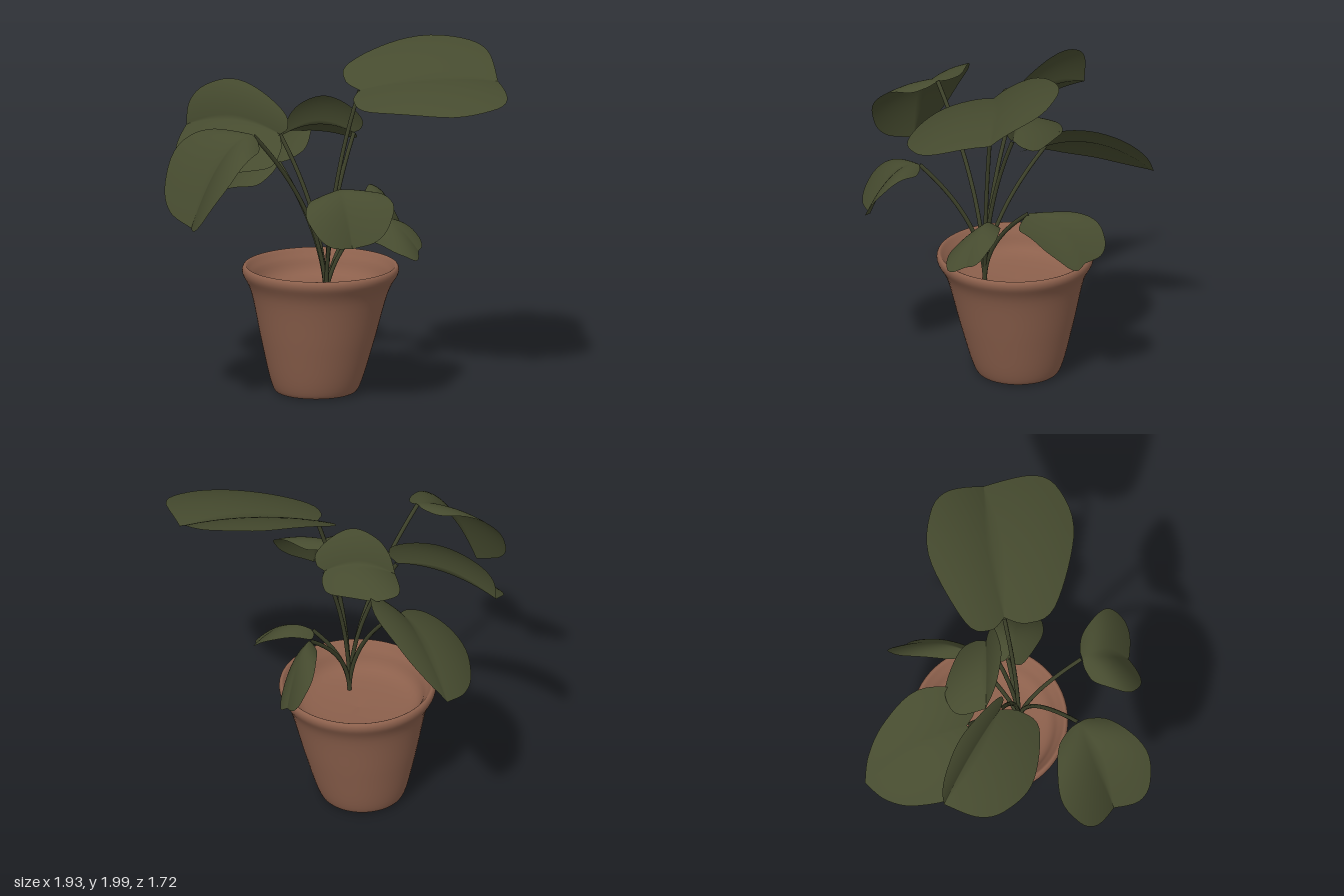
import * as THREE from 'three';

const ROOT = new THREE.Vector3(-0.02, 0.56, 0.17);
const ROWS = 32, HALF = 9;

// Blade outline in leaf space: x along the midrib, y from midrib (0) to widest point (1)
const heartOutline = (round) => new THREE.SplineCurve([
  new THREE.Vector2(0, 0),
  new THREE.Vector2(-0.1, 0.25),
  new THREE.Vector2(-0.06, 0.62),
  new THREE.Vector2(0.4, 1),
  new THREE.Vector2(0.75, 0.75 + 0.15 * round),
  new THREE.Vector2(0.93, 0.36 + 0.25 * round),
  new THREE.Vector2(1, 0),
]);

// Heart-shaped blade spanned by its base, tip and two widest edge points
function bladeGeometry(base, tip, left, right, round) {
  // The midrib arches upward, more so the further the tip hangs
  const arch = 0.05 + 0.17 * (base.y - tip.y);
  const midrib = (a) => {
    const p = base.clone().lerp(tip, a);
    p.y += 4 * arch * a * (1 - a);
    return p;
  };
  const centre = midrib(0.45);
  const toLeft = left.clone().sub(centre), toRight = right.clone().sub(centre);
  const span = left.clone().sub(right);
  const normal = tip.clone().sub(base).cross(span).normalize();
  if (normal.y < 0) normal.negate();
  const bulge = 0.12 * span.length();

  // Rows run from edge to edge across the midrib
  const outline = heartOutline(round), positions = [], index = [], cols = HALF * 2 + 1;
  for (let i = 0; i <= ROWS; i++) {
    const s = i / ROWS, edge = outline.getPointAt(s);
    for (let j = -HALF; j <= HALF; j++) {
      const v = Math.abs(j) / HALF, b = edge.y * v;
      const p = midrib(THREE.MathUtils.lerp(s, edge.x, v));
      p.addScaledVector(j > 0 ? toLeft : toRight, b);
      p.addScaledVector(normal, bulge * b * (1 - b));
      positions.push(p.x, p.y, p.z);
      if (i < ROWS && j < HALF) {
        const k = i * cols + j + HALF;
        index.push(k, k + 1, k + cols, k + 1, k + cols + 1, k + cols);
      }
    }
  }
  const geometry = new THREE.BufferGeometry();
  geometry.setAttribute('position', new THREE.Float32BufferAttribute(positions, 3));
  geometry.setIndex(index);
  geometry.computeVertexNormals();
  return geometry;
}

// Stem rises straight from the root, then arcs outward to the blade
function stemGeometry(end) {
  const above = new THREE.Vector3(ROOT.x, (ROOT.y + end.y) / 2, ROOT.z);
  return new THREE.TubeGeometry(new THREE.QuadraticBezierCurve3(ROOT, above, end), 32, 0.012, 8);
}

// Hollow pot: dimpled foot, tapered wall, rolled rim and raised inner floor
function potGeometry() {
  const profile = new THREE.SplineCurve([
    [0, 0.05], [0.08, 0.012], [0.2, 0.003], [0.25, 0.05], [0.318, 0.3], [0.385, 0.58],
    [0.44, 0.695], [0.425, 0.737], [0.385, 0.69], [0.3, 0.59], [0, 0.565],
  ].map(([r, y]) => new THREE.Vector2(r, y)));
  const geometry = new THREE.LatheGeometry(profile.getPoints(60), 64);
  // The foot sits slightly off the rim's centre
  const lean = 0.03;
  geometry.applyMatrix4(new THREE.Matrix4().makeShear(0, 0, lean, lean, 0, 0));
  return geometry.translate(-0.022, 0, -0.022);
}

export function createModel() {
  const terracotta = new THREE.MeshStandardMaterial({ name: 'terracotta', color: 0x8c604c });
  const leafGreen = new THREE.MeshStandardMaterial({ name: 'leaf green', color: 0x464b2f, side: THREE.DoubleSide });
  const stemGreen = new THREE.MeshStandardMaterial({ name: 'stem green', color: 0x3c4029 });

  const model = new THREE.Group();
  model.name = 'pottedPlant';
  const addMesh = (parent, name, geometry, material) => {
    const mesh = new THREE.Mesh(geometry, material);
    mesh.name = name;
    parent.add(mesh);
  };
  addMesh(model, 'pot', potGeometry(), terracotta);

  // One shoot: a stem carrying a blade
  const addShoot = (name, base, tip, left, right, round = 0.6) => {
    const corners = [base, tip, left, right].map((p) => new THREE.Vector3(...p));
    const shoot = new THREE.Group();
    shoot.name = name;
    addMesh(shoot, 'stem', stemGeometry(corners[0]), stemGreen);
    addMesh(shoot, 'blade', bladeGeometry(...corners, round), leafGreen);
    model.add(shoot);
  };

  // Each shoot: base, tip, left edge, right edge
  addShoot('topLeaf', [0.18, 1.77, 0.16], [0.94, 1.81, 0.34], [0.56, 1.72, 0.73], [0.62, 1.99, -0.12], 1);
  addShoot('upperBackLeaf', [-0.23, 1.5, -0.03], [-0.63, 1.47, -0.53], [-0.66, 1.3, -0.02], [-0.4, 1.76, -0.34]);
  addShoot('middleLeaf', [0.18, 1.5, 0.05], [-0.19, 1.48, -0.1], [0, 1.73, 0.07], [0, 1.45, -0.27]);
  addShoot('lowerBackLeaf', [-0.18, 1.29, -0.21], [-0.21, 1.07, -0.84], [-0.49, 1.1, -0.4], [0.06, 1.46, -0.44], 0.3);
  addShoot('frontLeaf', [-0.05, 1.3, 0.54], [-0.06, 1.02, 0.82], [0.19, 1.25, 0.79], [-0.3, 1.2, 0.72]);
  addShoot('smallBackLeaf', [0.3, 1.1, -0.02], [0.54, 0.87, -0.29], [0.46, 0.93, -0.08], [0.42, 1.08, -0.37]);
  addShoot('droopingLeaf', [-0.5, 1.6, 0.34], [-0.88, 1.1, 0.4], [-0.74, 1.39, 0.66], [-0.87, 1.5, 0.09]);
  addShoot('smallFrontLeaf', [0.2, 1.02, 0.19], [0.46, 0.87, 0.38], [0.3, 0.89, 0.44], [0.42, 1, 0.2]);
  return model;
}
